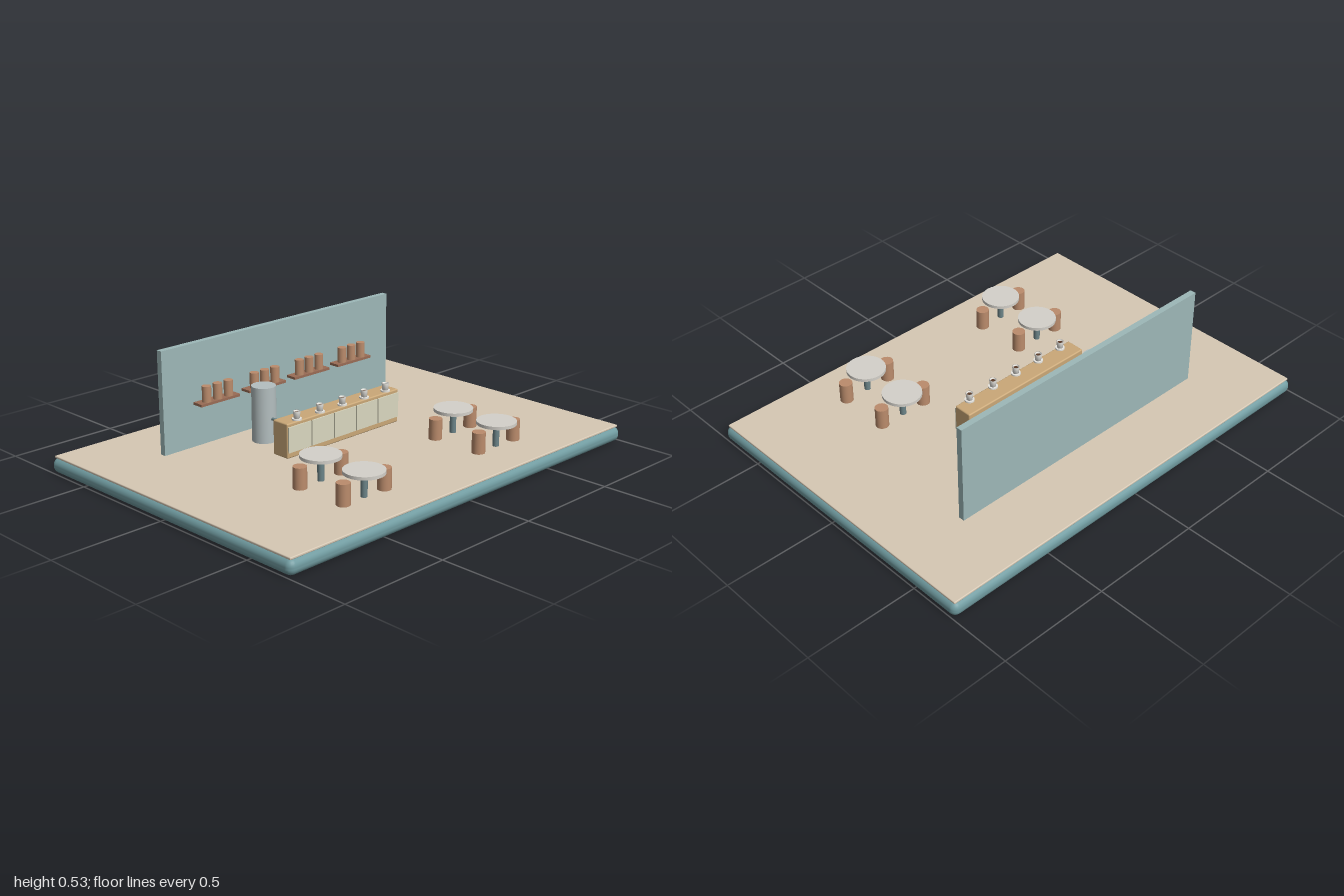
import * as THREE from 'three';
import { RoundedBoxGeometry } from 'three/addons/geometries/RoundedBoxGeometry.js';

const mat = (color) => new THREE.MeshStandardMaterial({ color });
const M = {
  teal: mat(0x6f9a9f), wall: mat(0x9db8b8), floor: mat(0xd6c8b4), wood: mat(0xcaa878),
  brown: mat(0xbb8c6c), shelf: mat(0x9a6c55), cream: mat(0xdad8c0), steel: mat(0xb4bfc0),
  stone: mat(0xd4d1ca), dark: mat(0x6c8488), white: mat(0xe8e6e0), coffee: mat(0x5a3a28),
};

function add(parent, name, geometry, material, x, y, z) {
  const mesh = new THREE.Mesh(geometry, material);
  mesh.name = name;
  mesh.position.set(x, y, z);
  parent.add(mesh);
  return mesh;
}

// Box and cylinder placed by the height of their underside
const box = (p, name, m, w, h, d, x, y, z) =>
  add(p, name, new THREE.BoxGeometry(w, h, d), m, x, y + h / 2, z);
const rounded = (p, name, m, w, h, d, r, x, y, z) =>
  add(p, name, new RoundedBoxGeometry(w, h, d, 3, r), m, x, y + h / 2, z);
const cyl = (p, name, m, r, h, x, y, z, rTop = r, sides = 24) =>
  add(p, name, new THREE.CylinderGeometry(rTop, r, h, sides), m, x, y + h / 2, z);

function group(parent, name, x = 0, y = 0, z = 0) {
  const g = new THREE.Group();
  g.name = name;
  g.position.set(x, y, z);
  parent.add(g);
  return g;
}

export function createModel() {
  const model = new THREE.Group();
  model.name = 'cafe';
  const F = 0.075; // floor height

  // Plinth, floor and back wall
  rounded(model, 'plinth', M.teal, 2, 0.066, 1.46, 0.03, 0, 0, 0);
  rounded(model, 'floor', M.floor, 1.974, 0.011, 1.434, 0.004, 0, 0.064, 0);
  box(model, 'backWall', M.wall, 1.333, 0.453, 0.027, 0, F, -0.4);

  // Wall shelves, three jars on each
  for (let i = 0; i < 4; i++) {
    const shelf = group(model, 'wallShelf', -0.4 + i * 0.267, 0.262, -0.36);
    box(shelf, 'shelfBoard', M.shelf, 0.213, 0.011, 0.053, 0, 0, 0);
    for (const x of [-0.06, 0, 0.06]) cyl(shelf, 'jar', M.brown, 0.02, 0.069, x, 0.011, 0.005);
  }

  // Tall urn with a spout on its front
  const urn = group(model, 'urn', -0.243, F, -0.24);
  cyl(urn, 'urnBody', M.steel, 0.053, 0.246, 0, 0, 0, 0.053, 28);
  add(urn, 'spout', new THREE.CylinderGeometry(0.007, 0.007, 0.04, 12), M.dark, 0, 0.108, 0.055)
    .rotation.x = Math.PI / 2;

  // Serving counter with five front panels, a cup and saucer over each
  const counter = group(model, 'counter', 0, F, 0);
  rounded(counter, 'counterBody', M.wood, 0.667, 0.153, 0.087, 0.006, 0, 0, -0.041);
  const cupProfile = [[0, 0], [0.013, 0], [0.016, 0.031], [0.0125, 0.031], [0.011, 0.024]]
    .map(([r, y]) => new THREE.Vector2(r, y));
  for (let i = -2; i <= 2; i++) {
    const x = i * 0.133;
    box(counter, 'frontPanel', M.cream, 0.127, 0.112, 0.008, x, 0.026, 0.004);
    const cup = group(counter, 'cupAndSaucer', x, 0.154, -0.012);
    cyl(cup, 'saucer', M.white, 0.021, 0.007, 0, 0, 0);
    add(cup, 'cup', new THREE.LatheGeometry(cupProfile, 20), M.white, 0, 0.007, 0);
    cyl(cup, 'drink', M.coffee, 0.0115, 0.002, 0, 0.03, 0, 0.0115, 20);
  }

  // Round tables, each between two stools
  for (const x of [-0.4, 0.4]) {
    for (const z of [0.267, 0.507]) {
      const set = group(model, 'tableSet', x, F, z);
      cyl(set, 'pedestal', M.dark, 0.014, 0.102, 0, 0, 0, 0.014, 16);
      cyl(set, 'tableTop', M.stone, 0.086, 0.014, 0, 0.1, 0, 0.086, 36);
      for (const side of [-1, 1]) cyl(set, 'stool', M.brown, 0.029, 0.092, side * 0.114, 0, 0);
    }
  }
  return model;
}
